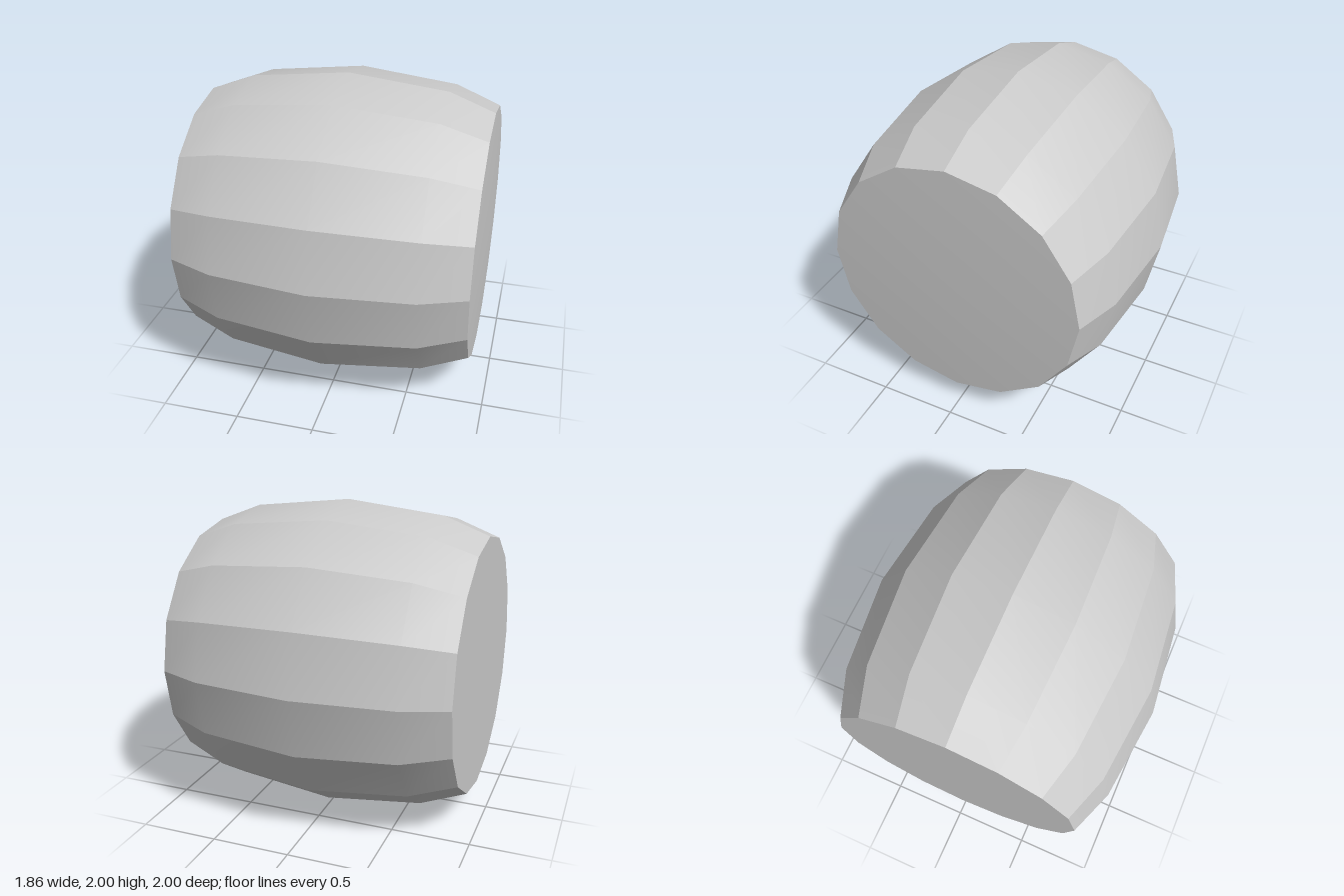
import * as THREE from 'three';
import { toCreasedNormals } from 'three/addons/utils/BufferGeometryUtils.js';

const SIDES = 16;
const END_RADIUS = 0.82;
// Half-profile of the bulging wall: [radius, position along the axis]
const PROFILE = [[END_RADIUS, -0.93], [0.93, -0.64], [1, -0.02], [0.93, 0.61], [END_RADIUS, 0.895]];

export function createModel() {
  const model = new THREE.Group();
  model.name = 'barrel';
  const material = new THREE.MeshStandardMaterial({ color: 0xcccccc });

  const add = (name, geometry) => {
    const mesh = new THREE.Mesh(geometry, material);
    mesh.name = name;
    mesh.position.y = 1;
    model.add(mesh);
  };

  // Staves: smooth along their length, creased where they meet
  const staves = new THREE.LatheGeometry(PROFILE.map(([r, a]) => new THREE.Vector2(r, a)), SIDES);
  staves.rotateZ(-Math.PI / 2);
  add('staves', toCreasedNormals(staves, THREE.MathUtils.degToRad(18)));

  // Left end: a very shallow cone
  const leftHead = new THREE.ConeGeometry(END_RADIUS, 0.03, SIDES, 1, true);
  leftHead.rotateZ(-Math.PI / 2).translate(0.895 + 0.015, 0, 0);
  add('leftHead', toCreasedNormals(leftHead, THREE.MathUtils.degToRad(18)));

  // Right end: flat disc
  const rightHead = new THREE.CircleGeometry(END_RADIUS, SIDES);
  rightHead.rotateY(-Math.PI / 2).translate(-0.93, 0, 0);
  add('rightHead', rightHead);

  return model;
}
